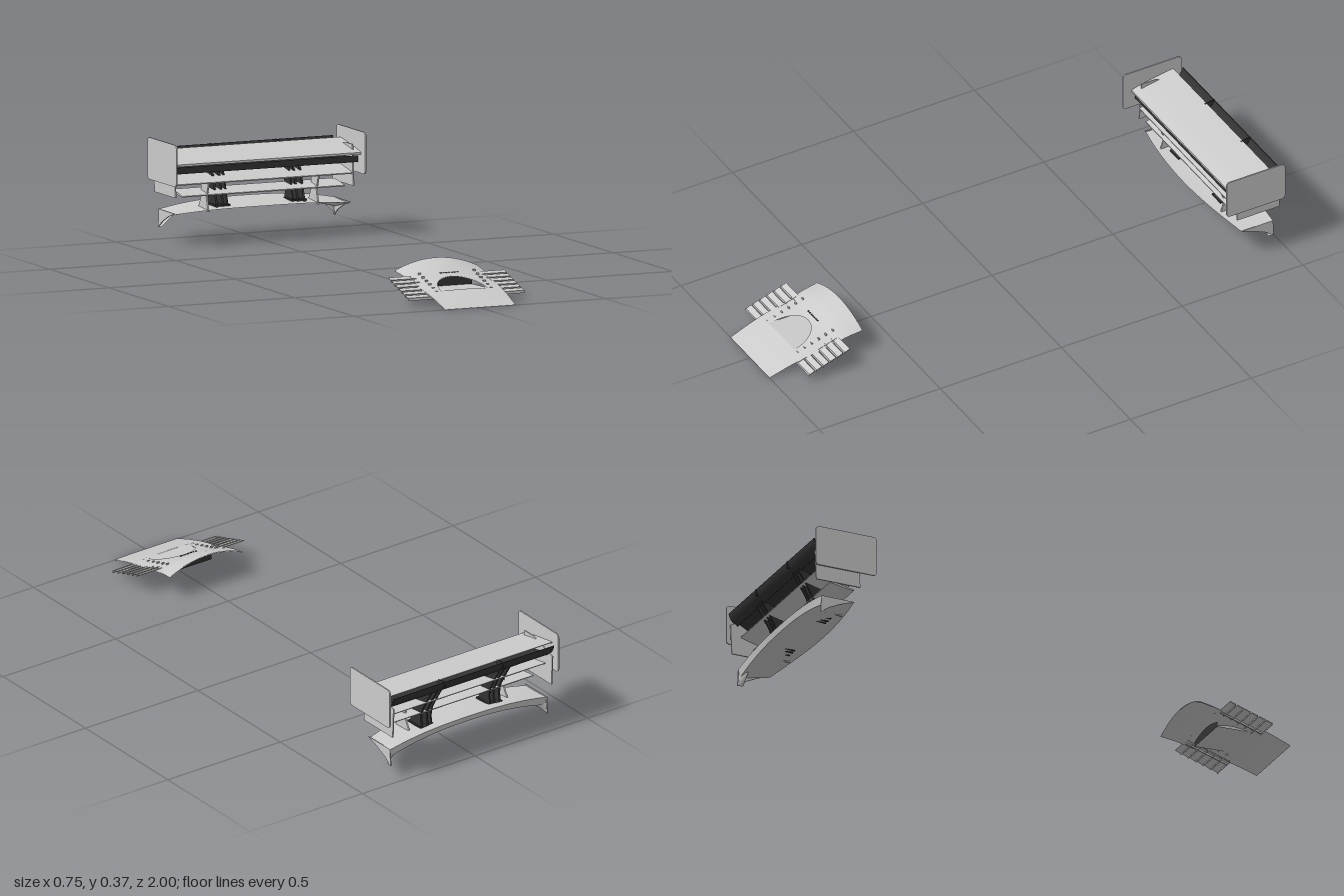
import * as THREE from 'three';
import { ParametricGeometry } from 'three/addons/geometries/ParametricGeometry.js';

const grey = new THREE.MeshStandardMaterial({ color: 0xcccccc, side: THREE.DoubleSide });
const dark = new THREE.MeshStandardMaterial({ color: 0x333333, side: THREE.DoubleSide });

// Piecewise linear lookup in [position, value] pairs, positions descending
function lookup(table, p) {
  for (let i = 0; i < table.length - 1; i++) {
    const [a, va] = table[i], [b, vb] = table[i + 1];
    if (p >= b) return va + (vb - va) * (a - p) / (a - b);
  }
  return table[table.length - 1][1];
}

function add(parent, name, geometry, material = grey) {
  const mesh = new THREE.Mesh(geometry, material);
  mesh.name = name;
  parent.add(mesh);
  return mesh;
}

// Curved sheet from a rule (s across -1..1, t along 0..1) => [x, y, z]
function sheet(parent, name, rule, nu = 48, nv = 10, material = grey) {
  const geometry = new ParametricGeometry((u, v, p) => p.set(...rule(u * 2 - 1, v)), nu, nv);
  return add(parent, name, geometry, material);
}

function box(parent, name, size, pos, material = grey) {
  const mesh = add(parent, name, new THREE.BoxGeometry(...size), material);
  mesh.position.set(...pos);
  return mesh;
}

// Side profile of [z, y] points extruded across x
function sideExtrude(parent, name, shape, width, x, material = grey) {
  const g = new THREE.ExtrudeGeometry(shape, { depth: width, bevelEnabled: false, curveSegments: 10 });
  g.translate(0, 0, -width / 2).rotateY(-Math.PI / 2);
  const mesh = add(parent, name, g, material);
  mesh.position.x = x;
  return mesh;
}
const polygon = pts => new THREE.Shape(pts.map(p => new THREE.Vector2(...p)));
const smoothLoop = (upper, lower) => {
  const v = pts => new THREE.SplineCurve(pts.map(p => new THREE.Vector2(...p))).getPoints(12);
  return new THREE.Shape([...v(upper), ...v(lower)]);
};
function roundedPlate(z0, z1, y0, y1, r) {
  const s = new THREE.Shape();
  s.moveTo(z0 + r, y0).lineTo(z1 - r, y0).quadraticCurveTo(z1, y0, z1, y0 + r);
  s.lineTo(z1, y1 - r).quadraticCurveTo(z1, y1, z1 - r, y1).lineTo(z0 + r, y1);
  s.quadraticCurveTo(z0, y1, z0, y1 - r).lineTo(z0, y0 + r).quadraticCurveTo(z0, y0, z0 + r, y0);
  return s;
}

function createHood() {
  const hood = new THREE.Group();
  hood.name = 'ventedHood';
  const crown = [[1, 0.003], [0.93, 0.03], [0.87, 0.05], [0.76, 0.083], [0.69, 0.113], [0.63, 0.132]];
  const drop = [[1, 0], [0.87, 0.006], [0.76, 0.016], [0.63, 0.038]];
  const halfWidth = z => 0.14 + (1 - z) * 0.065;
  const point = (s, z) => {
    const x = s * halfWidth(z);
    return [x, lookup(crown, z) - lookup(drop, z) * s * s, z];
  };
  // Front edge of the rear panel arches back around the vent
  const ventEdge = s => {
    const k = s * 0.15 / 0.092;
    return 0.87 - (Math.abs(k) < 1 ? 0.11 * Math.sqrt(1 - k * k) : 0);
  };
  for (const [layer, dy] of [['Top', 0], ['Underside', -0.003]]) {
    const lift = p => [p[0], Math.max(0, p[1] + dy), p[2]];
    sheet(hood, 'noseSkin' + layer, (s, t) => lift(point(s, 1 - 0.13 * t)));
    sheet(hood, 'rearSkin' + layer, (s, t) => {
      const z0 = ventEdge(s);
      return lift(point(s, z0 + (0.63 - z0) * t));
    }, 96, 14);
  }
  // Duct floor beneath the vent arch
  sheet(hood, 'ventFloor', (s, t) => [s * 0.095, 0.048 - 0.004 * t, 0.872 - 0.14 * t], 12, 3);
  sheet(hood, 'ventBack', (s, t) => [s * 0.095, 0.044 + 0.034 * t * (1 - s * s * 0.5), 0.732], 12, 2, dark);
  // Small vent row behind the arch
  for (let i = -3; i <= 3; i++) box(hood, 'smallVent', [0.006, 0.002, 0.005], [i * 0.011, 0.0925, 0.74], dark);

  // Side louvres stepping up along the hood
  for (const side of [-1, 1]) {
    for (let i = 0; i < 6; i++) {
      const z = 0.875 - 0.029 * i, y = 0.033 + 0.0092 * i;
      const slat = box(hood, 'sideLouvre', [0.1, 0.003, 0.024], [side * 0.18, y, z]);
      slat.rotation.x = 0.4;
      box(hood, 'louvreLip', [0.1, 0.01, 0.002], [side * 0.18, y - 0.005, z + 0.011]);
      box(hood, 'louvrePin', [0.01, 0.008, 0.005], [side * 0.108, y + 0.012, z - 0.01]);
    }
    const rail = box(hood, 'louvreRail', [0.005, 0.012, 0.17], [side * 0.145, 0.053, 0.803]);
    rail.rotation.x = 0.3;
  }
  return hood;
}

function createDeckSpoiler() {
  const spoiler = new THREE.Group();
  spoiler.name = 'deckSpoiler';
  const W = 0.35;
  const arc = s => 0.03 * Math.pow(Math.abs(s), 2.5);
  // Upper skin, rear face and underside
  const frontZ = s => -0.79 - 0.045 * s * s;
  sheet(spoiler, 'spoilerTop', (s, t) => {
    const z0 = frontZ(s);
    return [s * W, 0.128 - arc(s) * 0.6 + (0.017 - arc(s) * 0.4) * t * t, z0 + (-0.962 - z0) * t];
  });
  sheet(spoiler, 'spoilerRearFace', (s, t) =>
    [s * W, 0.145 - arc(s) - (0.022 + 0.012 * s * s) * t, -0.962 + 0.006 * t], 48, 3);
  sheet(spoiler, 'spoilerUnderside', (s, t) => {
    const z0 = frontZ(s);
    const y0 = 0.128 - arc(s) * 0.6, y1 = 0.123 - arc(s) - 0.012 * s * s;
    return [s * W, y0 + (y1 - y0) * t, z0 + (-0.956 - z0) * t];
  });
  // Pointed end fins
  for (const side of [-1, 1]) {
    const fin = polygon([[-0.83, 0.115], [-0.962, 0.116], [-0.965, 0.05], [-0.93, 0.075], [-0.88, 0.098]]);
    sideExtrude(spoiler, 'endFin', fin, 0.004, side * 0.348);
    sheet(spoiler, 'finBrace', (s, t) =>
      [side * (0.348 - 0.045 * t * (s + 1) / 2), 0.052 + 0.04 * (s + 1) / 2, -0.962 + 0.02 * t], 6, 3);
  }
  return spoiler;
}

function createRearWing() {
  const wing = new THREE.Group();
  wing.name = 'rearWing';
  // Main plane, cambered with a hollow belly
  const main = smoothLoop(
    [[-0.79, 0.298], [-0.84, 0.311], [-0.9, 0.321], [-0.962, 0.331]],
    [[-0.962, 0.328], [-0.9, 0.311], [-0.84, 0.295], [-0.79, 0.29]]);
  sideExtrude(wing, 'mainPlane', main, 0.744, 0);
  const lower = smoothLoop(
    [[-0.8, 0.286], [-0.84, 0.276], [-0.9, 0.28], [-0.955, 0.3]],
    [[-0.957, 0.297], [-0.9, 0.268], [-0.84, 0.259], [-0.8, 0.262]]);
  sideExtrude(wing, 'lowerPlane', lower, 0.73, 0, dark);
  // Upright rear flap and ribs
  const flap = smoothLoop(
    [[-0.96, 0.29], [-0.975, 0.305], [-0.986, 0.32], [-0.992, 0.334]],
    [[-0.995, 0.334], [-0.99, 0.318], [-0.98, 0.303], [-0.963, 0.287]]);
  sideExtrude(wing, 'rearFlap', flap, 0.712, 0, dark);
  for (const x of [-0.13, 0.13]) {
    sideExtrude(wing, 'flapRib', polygon([[-0.955, 0.296], [-0.995, 0.312], [-0.995, 0.336], [-0.955, 0.331]]), 0.004, x, dark);
  }
  // Lower stacked elements
  const element = (name, z0, z1, y, rise, width) => sideExtrude(wing, name, smoothLoop(
    [[z0, y], [(z0 + z1) / 2, y + rise * 0.25 + 0.006], [z1, y + rise]],
    [[z1, y + rise - 0.003], [(z0 + z1) / 2, y + rise * 0.25 - 0.002], [z0, y - 0.004]]), width, 0);
  element('middleElement', -0.81, -0.95, 0.223, 0.025, 0.708);
  element('bottomElement', -0.82, -0.915, 0.178, 0.014, 0.644);

  for (const side of [-1, 1]) {
    // End plates, inner fences and outer stays
    sideExtrude(wing, 'endPlate', roundedPlate(-0.997, -0.755, 0.222, 0.374, 0.015), 0.005, side * 0.3745);
    sideExtrude(wing, 'innerPlate', polygon([[-0.81, 0.175], [-0.985, 0.175], [-0.99, 0.29],
      [-0.88, 0.325], [-0.82, 0.325]]), 0.005, side * 0.353);
    sideExtrude(wing, 'outerStay', polygon([[-0.815, 0.22], [-0.88, 0.225], [-0.875, 0.17],
      [-0.9, 0.125], [-0.82, 0.115], [-0.835, 0.17]]), 0.006, side * 0.218);
    // Curved pylons
    const pylon = new THREE.Shape();
    pylon.moveTo(-0.84, 0.12).lineTo(-0.92, 0.125);
    pylon.quadraticCurveTo(-0.9, 0.17, -0.925, 0.215).quadraticCurveTo(-0.945, 0.25, -0.975, 0.295);
    pylon.lineTo(-0.93, 0.285).quadraticCurveTo(-0.885, 0.265, -0.87, 0.215);
    pylon.quadraticCurveTo(-0.86, 0.17, -0.84, 0.12);
    for (const x of [0.13, 0.148, 0.173]) {
      sideExtrude(wing, 'pylon', pylon, x > 0.14 ? 0.008 : 0.005, side * x, dark);
    }
    box(wing, 'pylonFoot', [0.06, 0.006, 0.08], [side * 0.152, 0.132, -0.88], dark);
  }
  return wing;
}

export function createModel() {
  const model = new THREE.Group();
  model.name = 'carBodyKit';
  model.add(createHood(), createDeckSpoiler(), createRearWing());
  return model;
}
